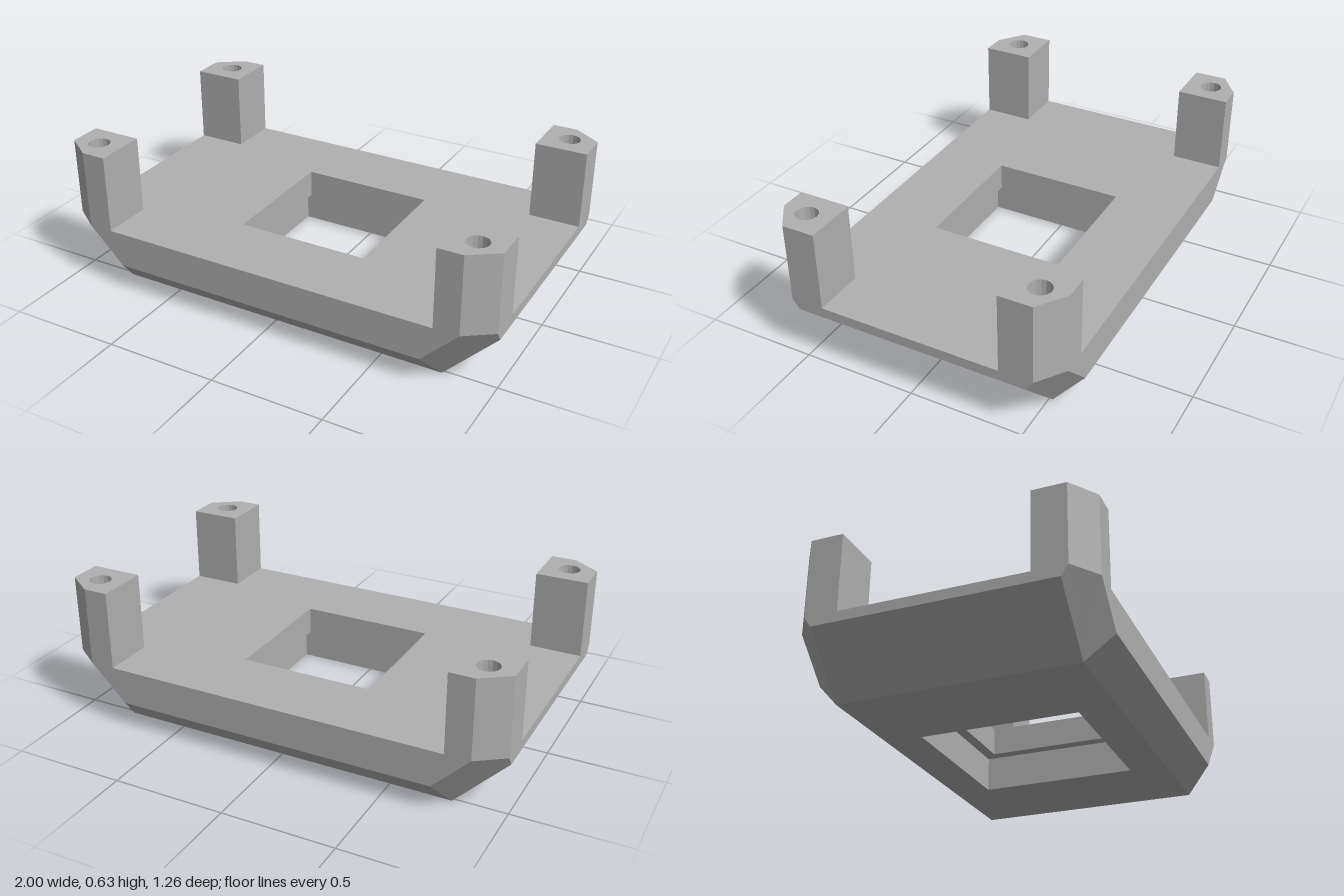
import * as THREE from 'three';

const TOP = 0.28;    // upper face of the plate
const POST = 0.63;   // top of the corner posts
const STEP = 0.155;  // height of the ledge inside the window

// Builds flat convex faces given for one quarter, mirrored to all four
function quarterFaces(faces) {
  const pos = [];
  for (const sx of [1, -1]) for (const sz of [1, -1]) {
    for (const f of faces) {
      for (let i = 1; i < f.length - 1; i++) {
        const tri = sx * sz > 0 ? [f[0], f[i], f[i + 1]] : [f[0], f[i + 1], f[i]];
        for (const [x, y, z] of tri) pos.push(x * sx, y, z * sz);
      }
    }
  }
  const geo = new THREE.BufferGeometry();
  geo.setAttribute('position', new THREE.Float32BufferAttribute(pos, 3));
  geo.computeVertexNormals();
  return geo;
}

export function createModel() {
  const group = new THREE.Group();
  const grey = new THREE.MeshStandardMaterial({ color: 0xb0b0b0, side: THREE.DoubleSide });
  grey.name = 'grey';

  const add = (name, geo, parent = group) => {
    const mesh = new THREE.Mesh(geo, grey);
    mesh.name = name;
    parent.add(mesh);
    return mesh;
  };

  // Corner points of the bevelled tray
  const base = [0.77, 0, 0.515];
  const frontLow = [0.72, 0.12, 0.63], frontHigh = [0.88, TOP, 0.63];
  const sideLow = [1, 0.235, 0.515], sideHigh = [1, TOP, 0.545];

  // Bevelled outside: front slope, front, side slope, side, corner
  add('trayRim', quarterFaces([
    [[0, 0, 0.515], base, frontLow, [0, 0.12, 0.63]],
    [[0, 0.12, 0.63], frontLow, frontHigh, [0, TOP, 0.63]],
    [base, [0.77, 0, 0], [1, 0.235, 0], sideLow],
    [sideLow, [1, 0.235, 0], [1, TOP, 0], sideHigh],
    [base, sideLow, sideHigh, frontHigh, frontLow],
  ]));

  // Underside around the wide lower opening
  add('trayUnderside', quarterFaces([
    [[0.35, 0, 0], [0.77, 0, 0], base, [0.35, 0, 0.35]],
    [[0, 0, 0.35], [0.35, 0, 0.35], base, [0, 0, 0.515]],
  ]));

  // Upper face, leaving out the post corners
  add('trayTop', quarterFaces([
    [[0.3, TOP, 0], [0.3, TOP, 0.3], [0.77, TOP, 0.4], [1, TOP, 0.4], [1, TOP, 0]],
    [[0, TOP, 0.3], [0, TOP, 0.63], [0.77, TOP, 0.63], [0.77, TOP, 0.4], [0.3, TOP, 0.3]],
  ]));

  // Stepped window: wide below, narrow above
  const walls = (r, y0, y1) => [
    [[r, y0, 0], [r, y0, r], [r, y1, r], [r, y1, 0]],
    [[r, y0, r], [0, y0, r], [0, y1, r], [r, y1, r]],
  ];
  add('windowWalls', quarterFaces([...walls(0.35, 0, STEP), ...walls(0.3, STEP, TOP)]));
  add('windowLedge', quarterFaces([
    [[0.3, STEP, 0], [0.35, STEP, 0], [0.35, STEP, 0.35], [0.3, STEP, 0.3]],
    [[0, STEP, 0.3], [0.3, STEP, 0.3], [0.35, STEP, 0.35], [0, STEP, 0.35]],
  ]));

  // Four corner posts with drilled screw holes
  const outline = [[0.77, 0.4], [1, 0.4], [1, 0.545], [0.88, 0.63], [0.77, 0.63]];
  const cx = 0.885, cz = 0.515, r = 0.048;
  for (const sx of [1, -1]) for (const sz of [1, -1]) {
    const post = new THREE.Group();
    post.name = (sz > 0 ? 'front' : 'back') + (sx > 0 ? 'Left' : 'Right') + 'Post';
    const shape = new THREE.Shape(outline.map(([x, z]) => new THREE.Vector2(x * sx, -z * sz)));
    shape.holes.push(new THREE.Path().absarc(cx * sx, -cz * sz, r, 0, Math.PI * 2, true));
    const geo = new THREE.ExtrudeGeometry(shape, {
      depth: POST - TOP, bevelEnabled: false, curveSegments: 8,
    });
    geo.rotateX(-Math.PI / 2).translate(0, TOP, 0);
    add('postBody', geo, post);
    // Conical bottom of the hole
    const tip = new THREE.CylinderGeometry(r, 0, 0.03, 16, 1, true);
    add('holeTip', tip, post).position.set(cx * sx, TOP - 0.015, cz * sz);
    group.add(post);
  }
  return group;
}
